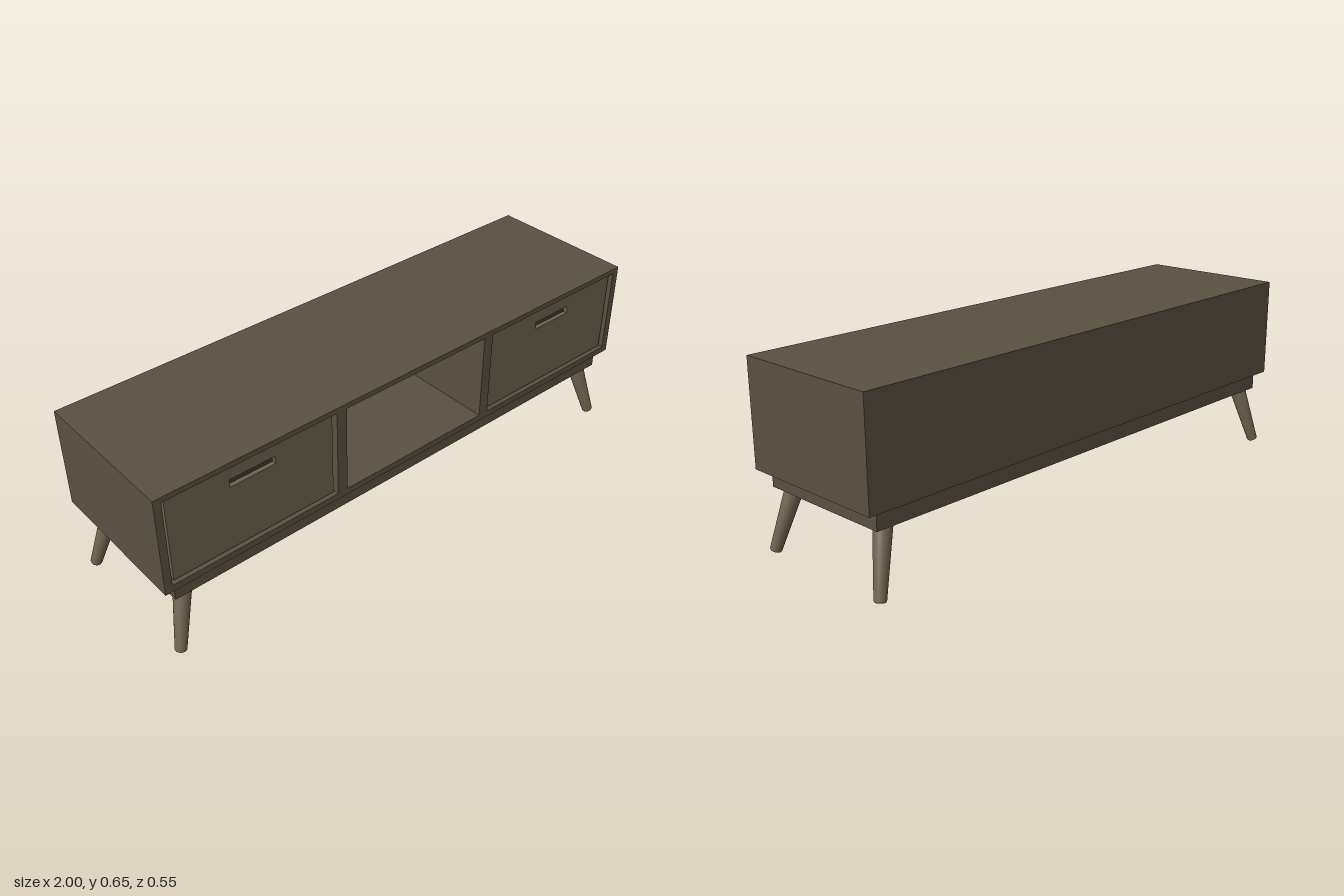
import * as THREE from 'three';

const material = (color) => new THREE.MeshStandardMaterial({ color });
const bodyMat = material(0x5a5043);
const drawerMat = material(0x6c624f);
const slotMat = material(0x40382f);
const legMat = material(0x6f6350);

const FRONT = 0.278, BACK = -0.273, BOTTOM = 0.285, TOP = 0.648;

function add(parent, name, geometry, mat) {
  const mesh = new THREE.Mesh(geometry, mat);
  mesh.name = name;
  parent.add(mesh);
  return mesh;
}

// box given by its two opposite corners
function boxBetween(x0, x1, y0, y1, z0, z1) {
  return new THREE.BoxGeometry(x1 - x0, y1 - y0, z1 - z0)
    .translate((x0 + x1) / 2, (y0 + y1) / 2, (z0 + z1) / 2);
}

function rectangle(path, x0, x1, y0, y1) {
  path.moveTo(x0, y0);
  path.lineTo(x1, y0);
  path.lineTo(x1, y1);
  path.lineTo(x0, y1);
  path.closePath();
  return path;
}

// rectangular slab with rectangular openings, running from z0 to z1
function pierced(outer, openings, z0, z1) {
  const shape = rectangle(new THREE.Shape(), ...outer);
  for (const o of openings) shape.holes.push(rectangle(new THREE.Path(), ...o));
  return new THREE.ExtrudeGeometry(shape, { depth: z1 - z0, bevelEnabled: false }).translate(0, 0, z0);
}

// drawer: front panel with a grip slot, and the closed box behind it
function makeDrawer(cx) {
  const drawer = new THREE.Group();
  const z = FRONT - 0.01;
  const slot = [-0.083, 0.083, 0.55, 0.578];
  add(drawer, 'drawerFront', pierced([-0.304, 0.304, 0.316, 0.622], [slot], z - 0.02, z), drawerMat);
  add(drawer, 'gripSlot', boxBetween(-0.09, 0.09, 0.545, 0.583, z - 0.03, z - 0.015), slotMat);
  add(drawer, 'drawerBox', boxBetween(-0.295, 0.295, 0.322, 0.615, BACK + 0.03, z - 0.02), drawerMat);
  drawer.position.x = cx;
  return drawer;
}

// round tapered leg, splayed from its foot to its top
function makeLeg(sx, sz) {
  const foot = new THREE.Vector3(sx * 0.965, 0.006, sz * 0.258);
  const top = new THREE.Vector3(sx * 0.903, 0.232, sz * 0.21);
  const axis = top.clone().sub(foot);
  const length = axis.length();
  const profile = [[0, 0], [0.013, 0], [0.017, 0.002], [0.0195, 0.006], [0.031, length], [0, length]]
    .map(([r, y]) => new THREE.Vector2(r, y));
  const leg = new THREE.Mesh(new THREE.LatheGeometry(profile, 32), legMat);
  leg.position.copy(foot);
  leg.quaternion.setFromUnitVectors(new THREE.Vector3(0, 1, 0), axis.normalize());
  return leg;
}

export function createModel() {
  const model = new THREE.Group();
  model.name = 'mediaConsole';

  // cabinet with three bays and a thin back
  const bays = [[-0.973, -0.342], [-0.303, 0.303], [0.342, 0.973]].map(([a, b]) => [a, b, 0.309, 0.629]);
  add(model, 'cabinet', pierced([-1, 1, BOTTOM, TOP], bays, BACK + 0.01, FRONT), bodyMat);
  add(model, 'backPanel', boxBetween(-1, 1, BOTTOM, TOP, BACK, BACK + 0.01), bodyMat);

  // inset plinth
  add(model, 'plinth', boxBetween(-0.958, 0.958, 0.222, BOTTOM, -0.25, 0.255), bodyMat);

  for (const side of [-1, 1]) {
    const sideName = side > 0 ? 'left' : 'right';
    const drawer = makeDrawer(side * 0.6575);
    drawer.name = sideName + 'Drawer';
    model.add(drawer);
    for (const end of [-1, 1]) {
      const leg = makeLeg(side, end);
      leg.name = sideName + (end > 0 ? 'FrontLeg' : 'BackLeg');
      model.add(leg);
    }
  }
  return model;
}
